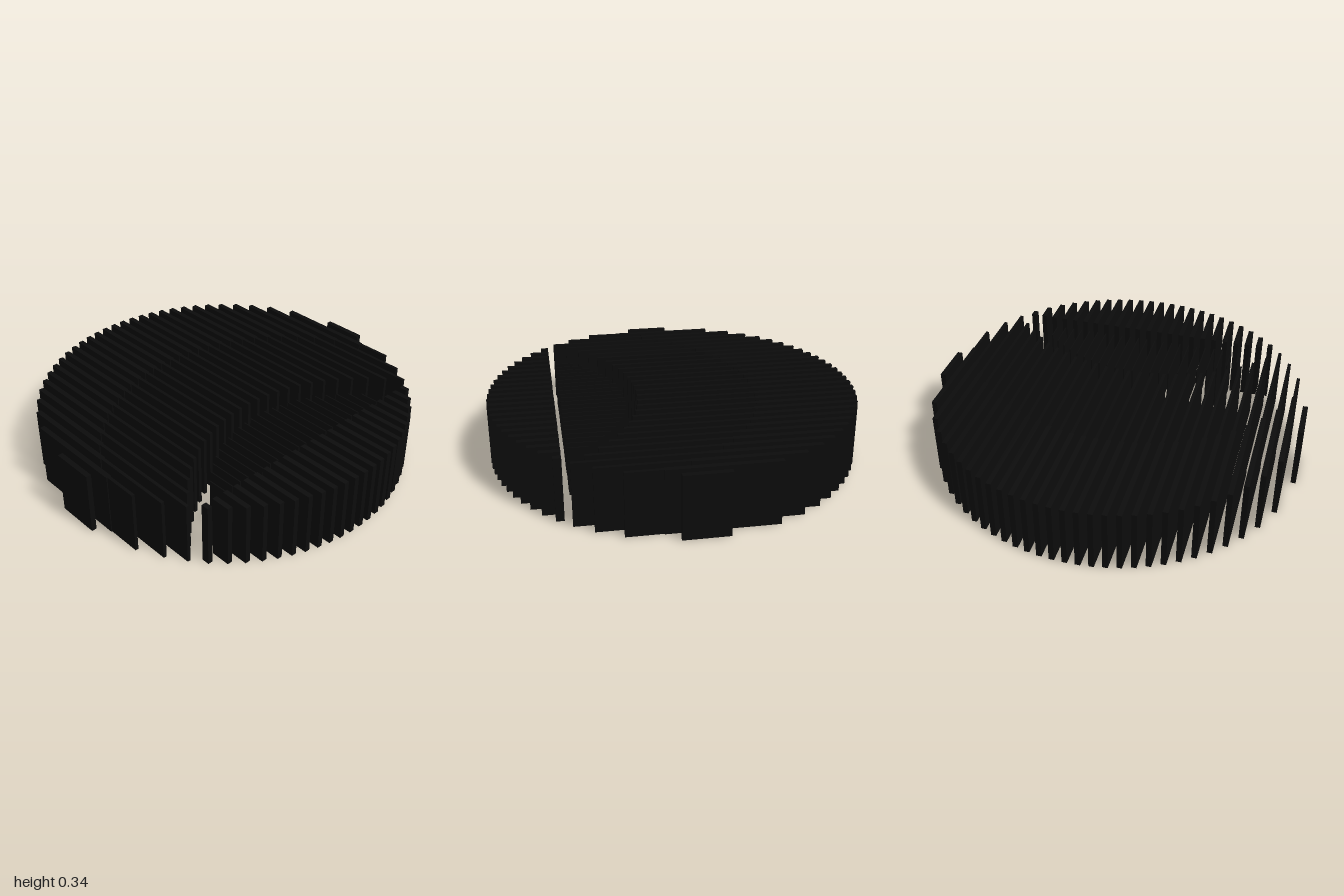
import * as THREE from 'three';

export function createModel() {
  const model = new THREE.Group();
  const material = new THREE.MeshStandardMaterial({ color: 0x0c0c0c });
  const R = 0.994, H = 0.337, FRONT = 0.605;

  const groups = {};
  for (const name of ['rearPlates', 'middlePlates', 'frontPlates', 'thinFins']) {
    groups[name] = new THREE.Group();
    groups[name].name = name;
    model.add(groups[name]);
  }

  // One upright slat, running from z0 to z1
  function slat(group, x, width, z0, z1, y0 = 0, y1 = H) {
    if (z1 - z0 < 0.004) return;
    const mesh = new THREE.Mesh(new THREE.BoxGeometry(width, y1 - y0, z1 - z0), material);
    mesh.position.set(x, (y0 + y1) / 2, (z0 + z1) / 2);
    mesh.name = group.slice(0, -1);
    groups[group].add(mesh);
  }

  // Curved boundary whose rearmost point is at z = start
  const arc = (x, start, r) => start + r - Math.sqrt(Math.max(0, r * r - x * x));

  // Parallel slats cut to a round outline, split into bands by arcs
  for (let i = -15; i <= 15; i++) {
    const x = i * 0.0658;
    const rim = Math.sqrt(R * R - x * x);
    const rearEnd = Math.min(rim, arc(x, -0.44, 0.99));
    const middleEnd = Math.min(rim, FRONT, arc(x, 0.197, 0.95));
    slat('rearPlates', x, 0.027, -rim, rearEnd);
    slat('middlePlates', x, 0.017, rearEnd, middleEnd);
    slat('frontPlates', x, 0.027, 0.64, rim);
  }

  // Finer, lower fins in the front crescent
  for (let i = -11; i <= 11; i++) {
    const x = i * 0.0508;
    slat('thinFins', x, 0.006, arc(x, 0.257, 0.76), FRONT, 0.04, 0.298);
  }
  return model;
}
